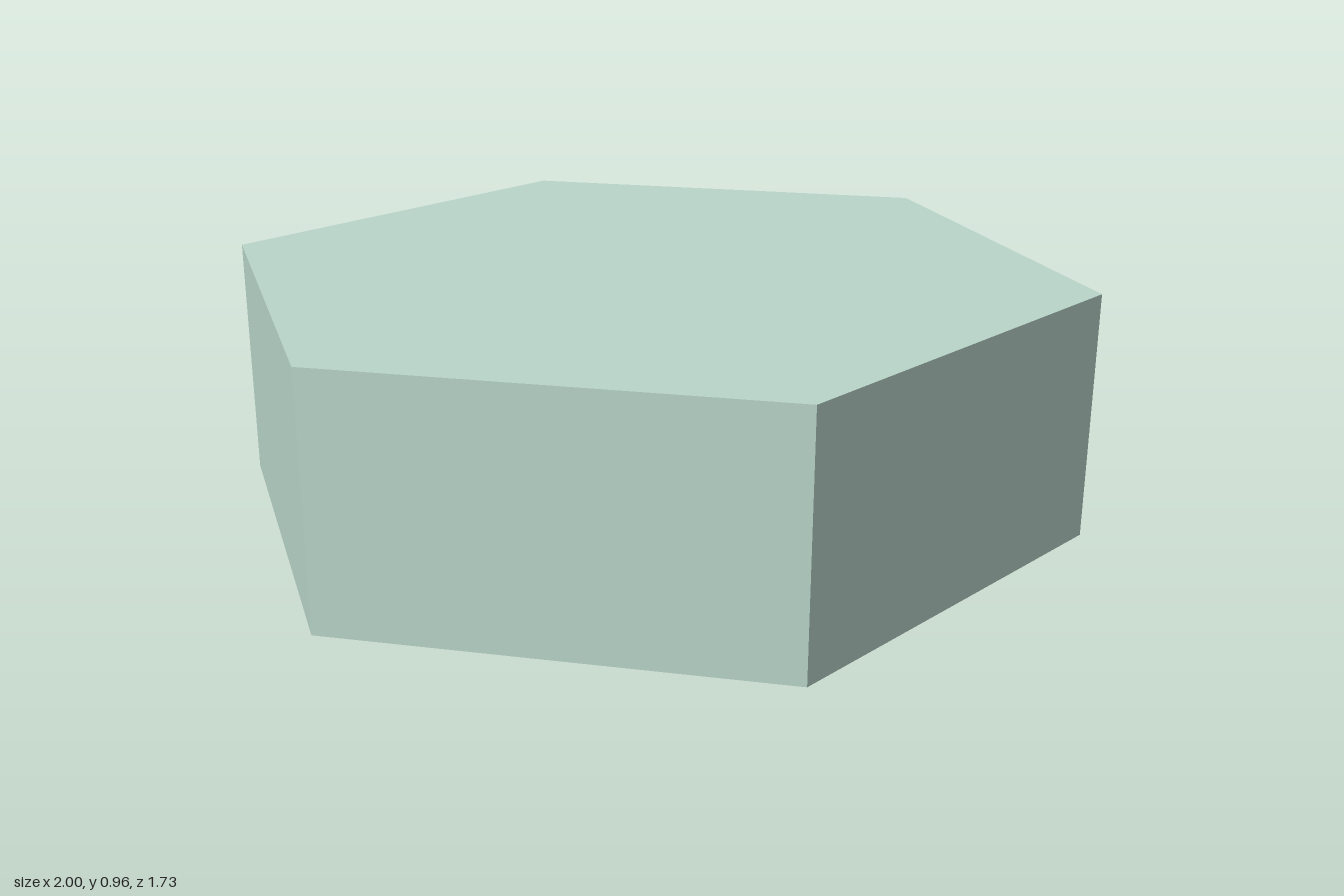
import * as THREE from 'three';

export function createModel() {
  const group = new THREE.Group();
  const color = 0xbad6cb;

  // Hexagonal head, corners pointing along x
  const headGeometry = new THREE.CylinderGeometry(1, 1, 0.564, 6);
  headGeometry.rotateY(Math.PI / 6);
  const head = new THREE.Mesh(headGeometry, new THREE.MeshStandardMaterial({ color, flatShading: true }));
  head.name = 'hexHead';
  head.position.y = 0.678;
  group.add(head);

  // Off-centre round shaft, leaning slightly back; its pivot is the bottom face
  const length = 0.44;
  const shaftGeometry = new THREE.CylinderGeometry(0.329, 0.329, length, 64);
  shaftGeometry.translate(0, length / 2, 0);
  const shaft = new THREE.Mesh(shaftGeometry, new THREE.MeshStandardMaterial({ color }));
  shaft.name = 'shaft';
  shaft.position.set(-0.106, 0.009, -0.222);
  shaft.rotation.x = -0.027;
  group.add(shaft);

  return group;
}
